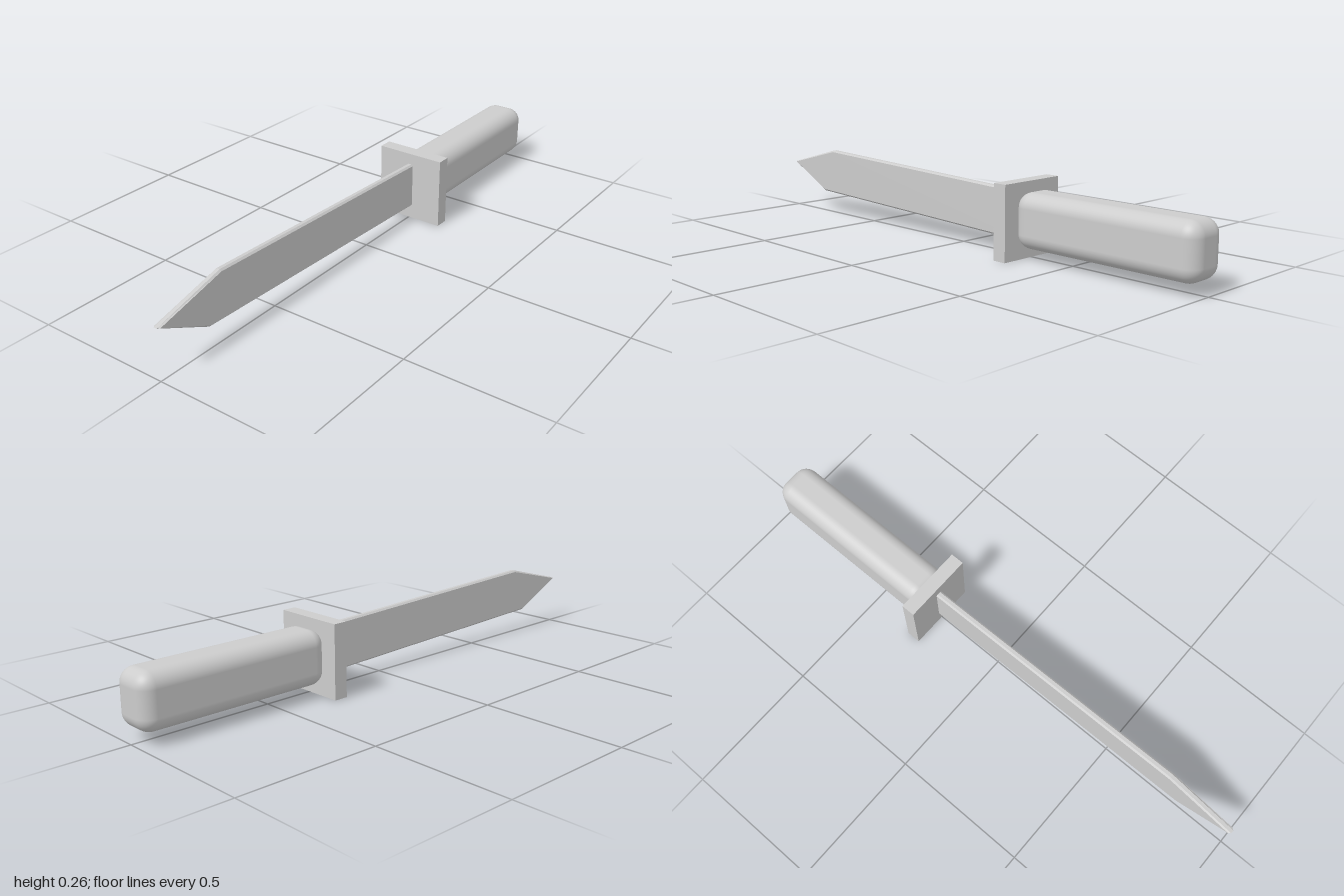
import * as THREE from 'three';
import { RoundedBoxGeometry } from 'three/addons/geometries/RoundedBoxGeometry.js';

export function createModel() {
  const model = new THREE.Group();
  model.name = 'knife';
  const grey = new THREE.MeshStandardMaterial({ color: 0xcccccc });
  grey.name = 'plain grey';

  const add = (name, geometry, x = 0, y = 0, z = 0) => {
    const mesh = new THREE.Mesh(geometry, grey);
    mesh.name = name;
    mesh.position.set(x, y, z);
    model.add(mesh);
  };

  // Blade: side profile (z, y) with thin bevelled edges, its root sunk in the guard
  const profile = new THREE.Shape([
    [-0.3, 0.047], [0.8, 0.083], [1, 0.183], [0.74, 0.252], [-0.3, 0.216],
  ].map(([z, y]) => new THREE.Vector2(z, y)));
  const blade = new THREE.ExtrudeGeometry(profile, {
    depth: 0.012, bevelEnabled: true, bevelSegments: 1,
    bevelThickness: 0.006, bevelSize: 0.006, bevelOffset: -0.006,
  });
  blade.translate(0, 0, -0.006).rotateY(-Math.PI / 2);
  add('blade', blade);

  // Square guard plate
  add('guard', new THREE.BoxGeometry(0.257, 0.257, 0.05), 0, 0.1285, -0.297);

  // Rounded grip, its front end slightly sunk in the guard
  add('handle', new RoundedBoxGeometry(0.154, 0.188, 0.695, 6, 0.05), 0, 0.131, -0.6525);

  return model;
}
